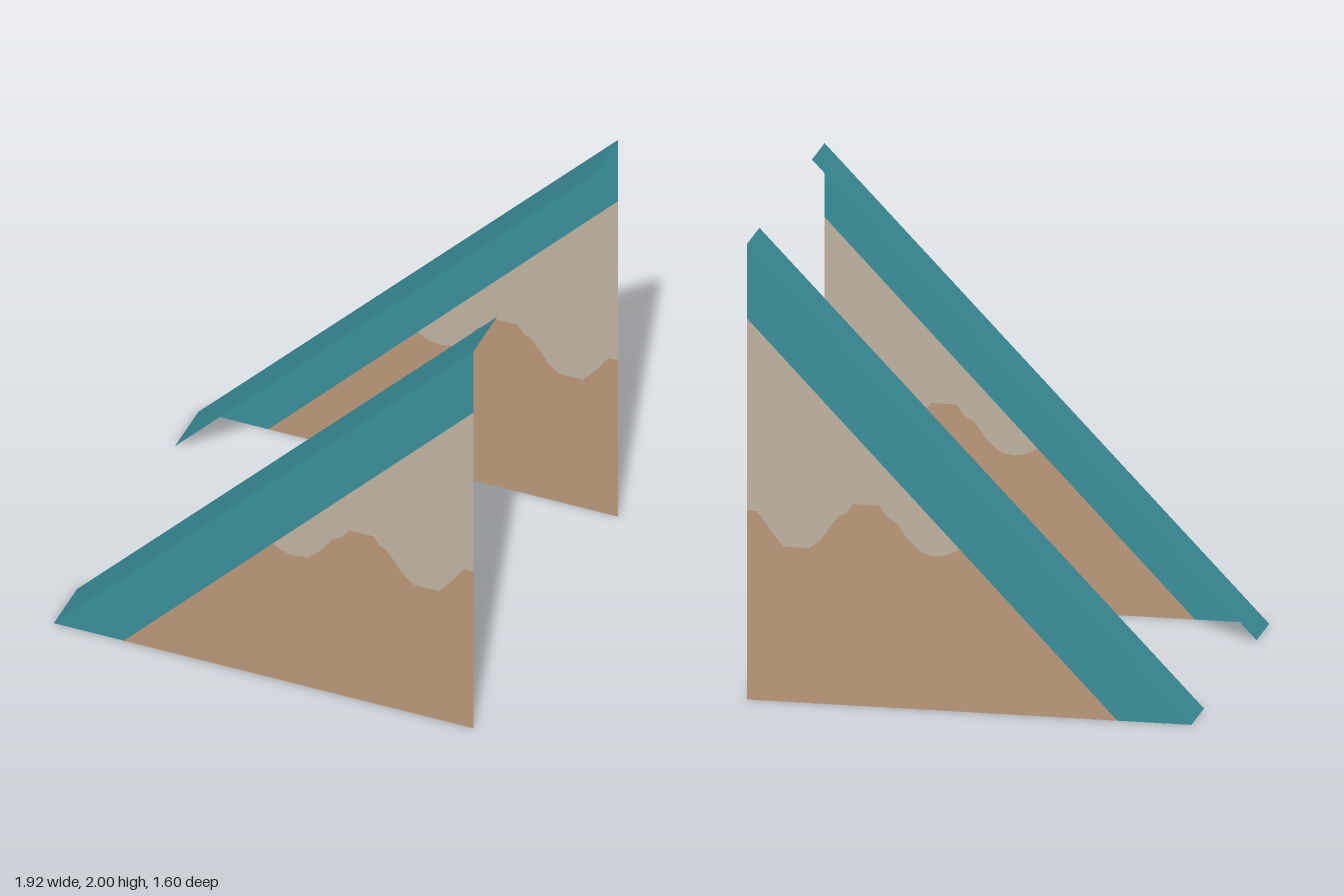
import * as THREE from 'three';

const HALF = 0.96, HEIGHT = 2, OUTER = 0.8, INNER = 0.54;
const BAND_X = -0.64, BAND_Y = 1.675; // lower edge of the sloping band

function material(name, color) {
  const m = new THREE.MeshStandardMaterial({ color, side: THREE.DoubleSide });
  m.name = name;
  return m;
}

function mesh(name, geometry, mat) {
  const m = new THREE.Mesh(geometry, mat);
  m.name = name;
  return m;
}

function flat(points) {
  return new THREE.ShapeGeometry(new THREE.Shape(points.map(([x, y]) => new THREE.Vector2(x, y))));
}

export function createModel() {
  const teal = material('teal', 0x398e9a);
  const tan = material('tan', 0xb99777);
  const beige = material('beige', 0xc0b29f);

  // wavy line between the two plaster colours, from the band to the tall edge
  const wave = [
    [0.04, 0.712], [0.08, 0.69], [0.11, 0.68], [0.14, 0.675], [0.2, 0.685],
    [0.24, 0.72], [0.27, 0.75], [0.31, 0.81], [0.36, 0.84], [0.39, 0.885],
    [0.5, 0.885], [0.53, 0.845], [0.56, 0.83], [0.6, 0.78], [0.64, 0.72],
    [0.69, 0.68], [0.8, 0.68], [0.83, 0.715], [0.86, 0.75], [0.9, 0.81],
    [0.92, 0.83], [HALF, 0.83],
  ];

  const band = flat([[-HALF, 0], [BAND_X, 0], [HALF, BAND_Y], [HALF, HEIGHT]]);
  const lower = flat([[BAND_X, 0], [HALF, 0], ...[...wave].reverse()]);
  const upper = flat([...wave, [HALF, BAND_Y]]);

  // sloping strip that runs inward from the panel's top edge
  const strip = new THREE.PlaneGeometry(Math.hypot(2 * HALF, HEIGHT), OUTER - INNER);
  strip.rotateX(-Math.PI / 2);
  strip.rotateZ(Math.atan2(HEIGHT, 2 * HALF));
  strip.translate(0, HEIGHT / 2, 0);

  const model = new THREE.Group();
  model.name = 'gableWalls';
  for (const [name, side] of [['front', 1], ['back', -1]]) {
    const wall = new THREE.Group();
    wall.name = name + 'Wall';
    const panel = new THREE.Group();
    panel.name = name + 'Panel';
    panel.position.z = side * OUTER;
    if (side < 0) {
      // the back panel faces outward: turn it round and mirror it into place
      panel.scale.z = -1;
    }
    panel.add(mesh('slopingBand', band, teal), mesh('lowerPlaster', lower, tan), mesh('upperPlaster', upper, beige));
    const top = mesh('slopingStrip', strip, teal);
    top.position.z = side * (OUTER + INNER) / 2;
    wall.add(panel, top);
    model.add(wall);
  }
  return model;
}
